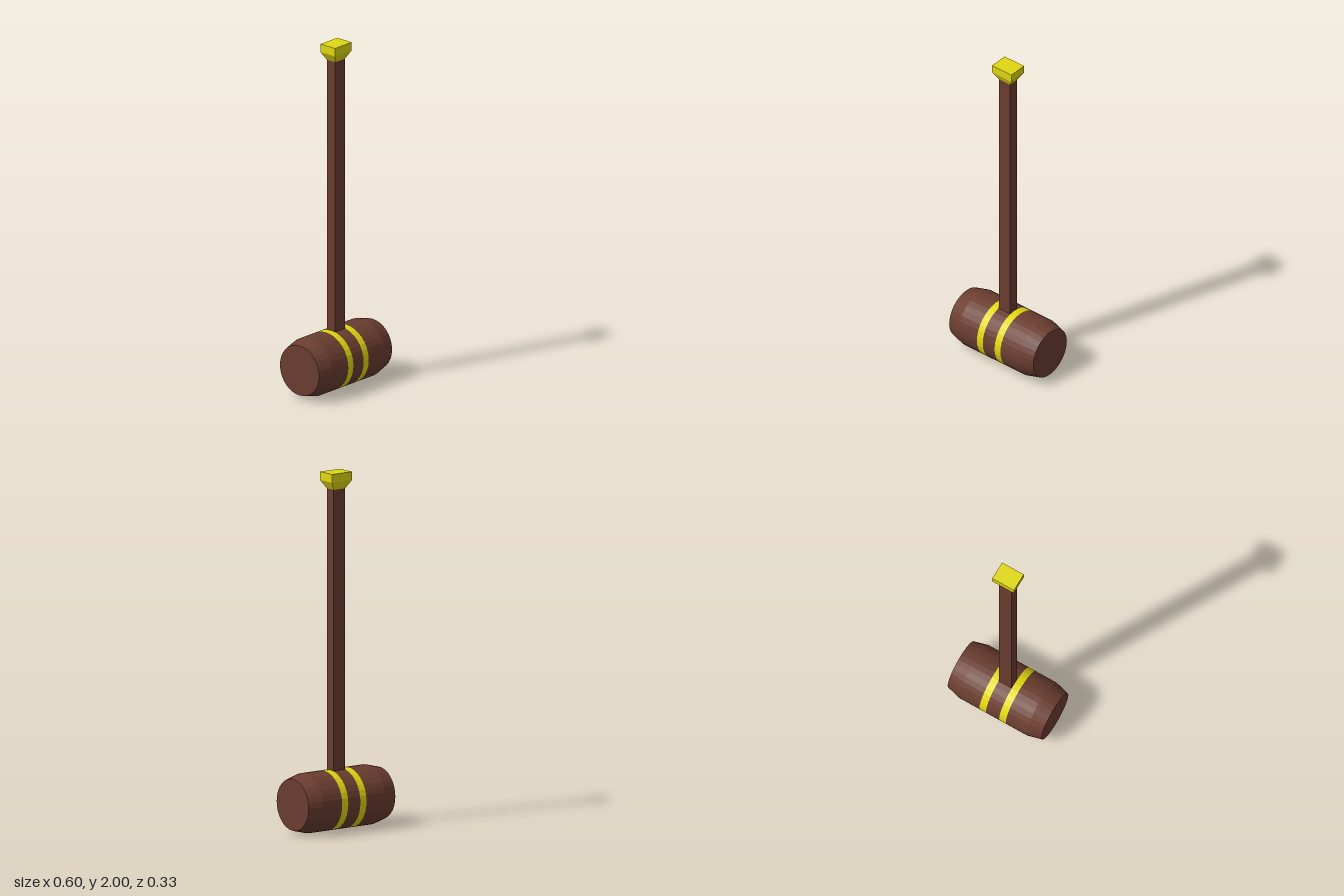
import * as THREE from 'three';

const wood = new THREE.MeshStandardMaterial({ color: 0x6b3d30, flatShading: true });
const gold = new THREE.MeshStandardMaterial({ color: 0xe0d810, flatShading: true });
const RADIUS = 0.167;

function addMesh(parent, name, geometry, material) {
  const mesh = new THREE.Mesh(geometry, material);
  mesh.name = name;
  parent.add(mesh);
  return mesh;
}

// One turned section of the head; profile pairs are [radius, distance along x]
function headSection(parent, name, profile, material) {
  const points = profile.map(([r, x]) => new THREE.Vector2(r, x));
  const geometry = new THREE.LatheGeometry(points, 32).rotateZ(-Math.PI / 2);
  addMesh(parent, name, geometry, material);
}

export function createModel() {
  const model = new THREE.Group();
  model.name = 'mallet';

  // Barrel head with tapered, closed ends and two flush bands
  const head = new THREE.Group();
  head.name = 'head';
  head.position.y = RADIUS;
  model.add(head);
  headSection(head, 'headRight',
    [[0, -0.3], [0.145, -0.3], [RADIUS, -0.215], [RADIUS, -0.084]], wood);
  headSection(head, 'bandRight', [[RADIUS, -0.084], [RADIUS, -0.042]], gold);
  headSection(head, 'headMiddle', [[RADIUS, -0.042], [RADIUS, 0.042]], wood);
  headSection(head, 'bandLeft', [[RADIUS, 0.042], [RADIUS, 0.084]], gold);
  headSection(head, 'headLeft',
    [[RADIUS, 0.084], [RADIUS, 0.215], [0.145, 0.3], [0, 0.3]], wood);

  // Rectangular handle, sunk into the head
  const bottom = 0.25, top = 1.91;
  const handle = addMesh(model, 'handle', new THREE.BoxGeometry(0.08, top - bottom, 0.06), wood);
  handle.position.y = (top + bottom) / 2;

  // Pommel: a box whose lower half narrows down to the handle
  const pommel = new THREE.BoxGeometry(0.138, 0.094, 0.108, 1, 2, 1);
  const pos = pommel.attributes.position;
  for (let i = 0; i < pos.count; i++) {
    if (pos.getY(i) < -0.01) {
      pos.setX(i, Math.sign(pos.getX(i)) * 0.04);
      pos.setZ(i, Math.sign(pos.getZ(i)) * 0.03);
    }
  }
  pommel.computeVertexNormals();
  addMesh(model, 'pommel', pommel, gold).position.y = 1.953;

  return model;
}
